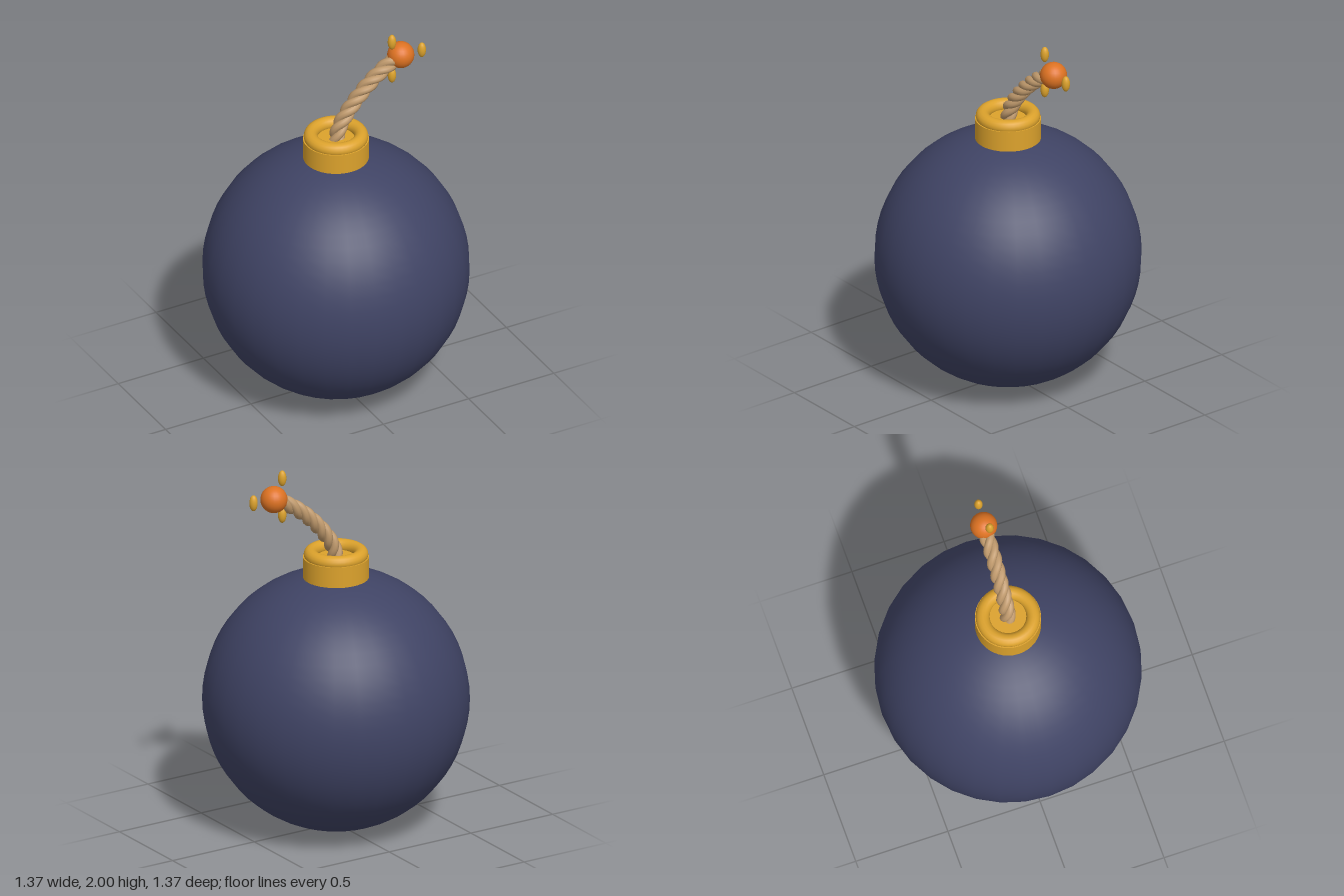
import * as THREE from 'three';

const material = (name, color) => {
  const m = new THREE.MeshStandardMaterial({ color });
  m.name = name;
  return m;
};

// One strand of the rope: a helix wound around a centre curve in the xy plane
class Strand extends THREE.Curve {
  constructor(core, phase, turns, radius) {
    super();
    Object.assign(this, { core, phase, turns, radius });
  }
  getPoint(t, target = new THREE.Vector3()) {
    const tangent = this.core.getTangentAt(t);
    const binormal = new THREE.Vector3(0, 0, 1);
    const normal = new THREE.Vector3().crossVectors(binormal, tangent);
    const a = this.phase + t * this.turns * Math.PI * 2;
    return target.copy(this.core.getPointAt(t))
      .addScaledVector(normal, Math.cos(a) * this.radius)
      .addScaledVector(binormal, Math.sin(a) * this.radius);
  }
}

export function createModel() {
  const model = new THREE.Group();
  model.name = 'bomb';

  const navy = material('navy shell', 0x3f4364);
  const gold = material('gold', 0xdca22c);
  const tan = material('tan rope', 0xbf996c);
  const orange = material('orange ember', 0xdd7222);

  const add = (name, geometry, mat, x = 0, y = 0, z = 0, parent = model) => {
    const mesh = new THREE.Mesh(geometry, mat);
    mesh.name = name;
    mesh.position.set(x, y, z);
    parent.add(mesh);
    return mesh;
  };

  // Round body
  add('body', new THREE.SphereGeometry(0.687, 32, 32), navy, 0, 0.692, 0);

  // Collar with a rounded rim
  add('collar', new THREE.CylinderGeometry(0.17, 0.17, 0.17, 40), gold, 0, 1.383, 0);
  const rim = add('collarRim', new THREE.TorusGeometry(0.13, 0.036, 16, 40), gold, 0, 1.48, 0);
  rim.rotation.x = Math.PI / 2;

  // Fuse of three twisted strands
  const fuse = new THREE.Group();
  fuse.name = 'fuse';
  model.add(fuse);
  const core = new THREE.CatmullRomCurve3([
    [0, 1.45], [0.02, 1.53], [0.095, 1.64], [0.2, 1.745], [0.29, 1.81], [0.37, 1.855],
  ].map(([x, y]) => new THREE.Vector3(x, y, 0)));
  for (let i = 0; i < 3; i++) {
    const strand = new Strand(core, (i * Math.PI * 2) / 3, 2.7, 0.021);
    add('fuseStrand', new THREE.TubeGeometry(strand, 90, 0.022, 10), tan, 0, 0, 0, fuse);
  }

  // Glowing tip with three sparks around it
  add('ember', new THREE.SphereGeometry(0.07, 24, 16), orange, 0.38, 1.857, 0);
  const spark = new THREE.SphereGeometry(0.022, 14, 10).scale(1, 1.95, 1);
  for (let i = 0; i < 3; i++) {
    const a = (i * Math.PI * 2) / 3;
    add('spark', spark, gold, 0.38 + 0.117 * Math.cos(a), 1.857 + 0.117 * Math.sin(a) * 0.99, 0.012);
  }

  return model;
}
